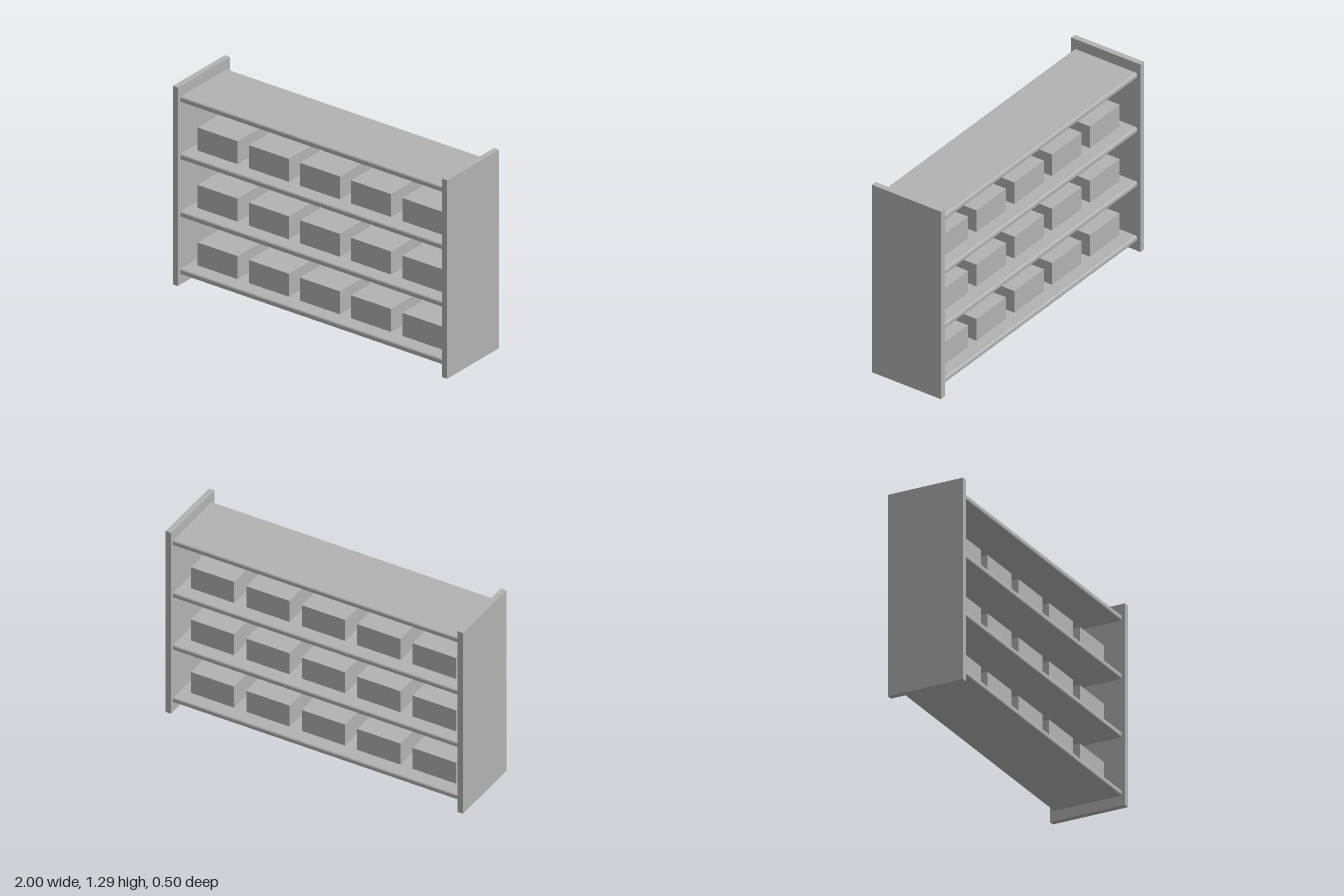
import * as THREE from 'three';

const HEIGHT = 1.288, DEPTH = 0.496, BOARD = 0.037;
const SHELF_LENGTH = 2 - 2 * BOARD, SHELF_DEPTH = 0.45;
const LEVEL = 0.373; // vertical spacing of shelves, also spacing of boxes

// Shelf board running along x, with its long edges rounded over
function shelfGeometry() {
  const w = SHELF_DEPTH / 2, h = BOARD / 2, r = 0.012;
  const s = new THREE.Shape();
  s.moveTo(-w + r, -h);
  s.lineTo(w - r, -h);
  s.absarc(w - r, -h + r, r, -Math.PI / 2, 0);
  s.absarc(w - r, h - r, r, 0, Math.PI / 2);
  s.absarc(-w + r, h - r, r, Math.PI / 2, Math.PI);
  s.absarc(-w + r, -h + r, r, Math.PI, Math.PI * 1.5);
  const g = new THREE.ExtrudeGeometry(s, { depth: SHELF_LENGTH, bevelEnabled: false, curveSegments: 4 });
  g.translate(0, 0, -SHELF_LENGTH / 2);
  g.rotateY(Math.PI / 2);
  return g;
}

export function createModel() {
  const group = new THREE.Group();
  group.name = 'shelvingUnit';
  const grey = new THREE.MeshStandardMaterial({ color: 0xb2b2b2 });
  grey.name = 'grey';

  const add = (name, geometry, x, y, z) => {
    const mesh = new THREE.Mesh(geometry, grey);
    mesh.name = name;
    mesh.position.set(x, y, z);
    group.add(mesh);
  };

  // Upright side panels
  const panel = new THREE.BoxGeometry(BOARD, HEIGHT, DEPTH);
  add('leftPanel', panel, 1 - BOARD / 2, HEIGHT / 2, 0);
  add('rightPanel', panel, -1 + BOARD / 2, HEIGHT / 2, 0);

  // Four shelves, the lower three carrying five boxes each
  const shelf = shelfGeometry();
  const box = new THREE.BoxGeometry(0.291, 0.149, 0.298);
  for (let i = 0; i < 4; i++) {
    add(`shelf${i + 1}`, shelf, 0, 0.083 + i * LEVEL, 0);
    if (i === 3) continue;
    for (let j = 0; j < 5; j++) {
      add(`box${i + 1}_${j + 1}`, box, -0.003 + (j - 2) * LEVEL, 0.19 + i * LEVEL, 0);
    }
  }
  return group;
}
